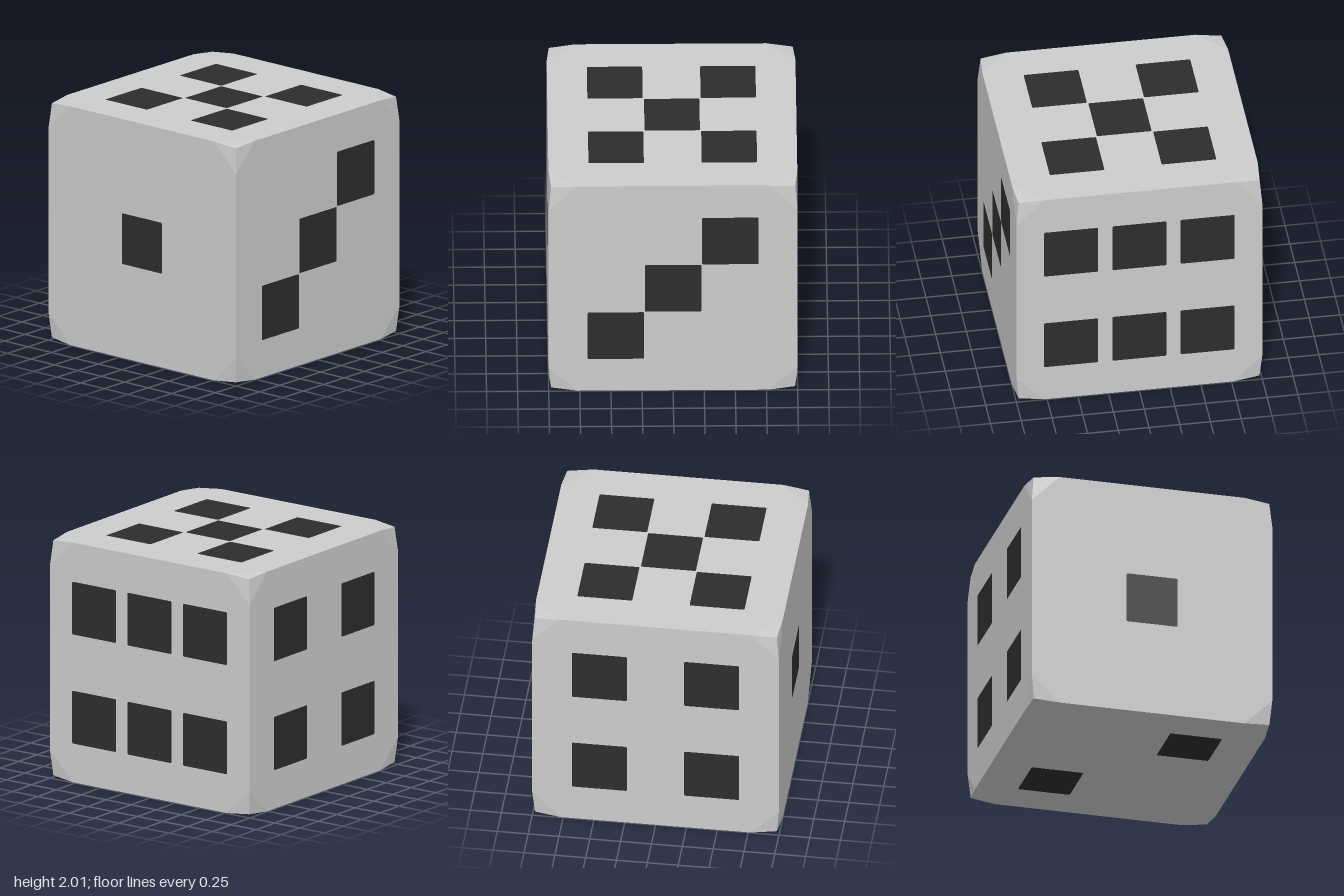
import * as THREE from 'three';
import { ConvexGeometry } from 'three/addons/geometries/ConvexGeometry.js';

const EDGE = 0.77;   // where each edge starts to bend inward
const CORNER = 0.98; // pulled-in corner position
const LIFT = 0.003;  // pips sit just proud of the faces

// Square pip with slightly softened corners
function pipGeometry(size) {
  const h = size / 2, r = 0.012;
  const s = new THREE.Shape();
  s.moveTo(-h + r, -h);
  s.lineTo(h - r, -h);
  s.quadraticCurveTo(h, -h, h, -h + r);
  s.lineTo(h, h - r);
  s.quadraticCurveTo(h, h, h - r, h);
  s.lineTo(-h + r, h);
  s.quadraticCurveTo(-h, h, -h, h - r);
  s.lineTo(-h, -h + r);
  s.quadraticCurveTo(-h, -h, -h + r, -h);
  return new THREE.ShapeGeometry(s, 3);
}

// Cube whose eight corners are drawn slightly inward
function bodyGeometry() {
  const points = [];
  for (const x of [-1, 1]) for (const y of [-1, 1]) for (const z of [-1, 1]) {
    points.push(
      new THREE.Vector3(x, y, z).multiplyScalar(CORNER),
      new THREE.Vector3(x * EDGE, y, z),
      new THREE.Vector3(x, y * EDGE, z),
      new THREE.Vector3(x, y, z * EDGE)
    );
  }
  return new ConvexGeometry(points);
}

export function createModel() {
  const model = new THREE.Group();
  model.name = 'die';

  const bodyMaterial = new THREE.MeshStandardMaterial({ color: 0xcccccc });
  bodyMaterial.name = 'light grey';
  const pipMaterial = new THREE.MeshStandardMaterial({ color: 0x2d2d2d });
  pipMaterial.name = 'charcoal';

  const body = new THREE.Mesh(bodyGeometry(), bodyMaterial);
  body.name = 'body';
  body.position.y = 1;
  model.add(body);

  // Pip layouts as [across, up] on each face, seen from outside
  const d = 0.455, w = 0.555, q = Math.PI / 2;
  const faces = [
    { name: 'frontPips', rotation: [0, 0, 0], size: 0.425, at: [[0, 0]] },
    { name: 'backPips', rotation: [0, 2 * q, 0], size: 0.44,
      at: [[-w, d], [0, d], [w, d], [-w, -d], [0, -d], [w, -d]] },
    { name: 'rightPips', rotation: [0, q, 0], size: 0.455, at: [[-0.46, -0.46], [0, 0], [0.46, 0.46]] },
    { name: 'leftPips', rotation: [0, -q, 0], size: 0.445, at: [[-d, d], [d, d], [-d, -d], [d, -d]] },
    { name: 'topPips', rotation: [-q, 0, 0], size: 0.445, at: [[-d, d], [d, d], [0, 0], [-d, -d], [d, -d]] },
    { name: 'bottomPips', rotation: [q, 0, 0], size: 0.43, at: [[d, d], [-d, -d]] }
  ];

  for (const { name, rotation, size, at } of faces) {
    const group = new THREE.Group();
    group.name = name;
    group.position.y = 1;
    group.rotation.set(...rotation);
    const geometry = pipGeometry(size);
    for (const [u, v] of at) {
      const pip = new THREE.Mesh(geometry, pipMaterial);
      pip.name = 'pip';
      pip.position.set(u, v, 1 + LIFT);
      group.add(pip);
    }
    model.add(group);
  }
  return model;
}
